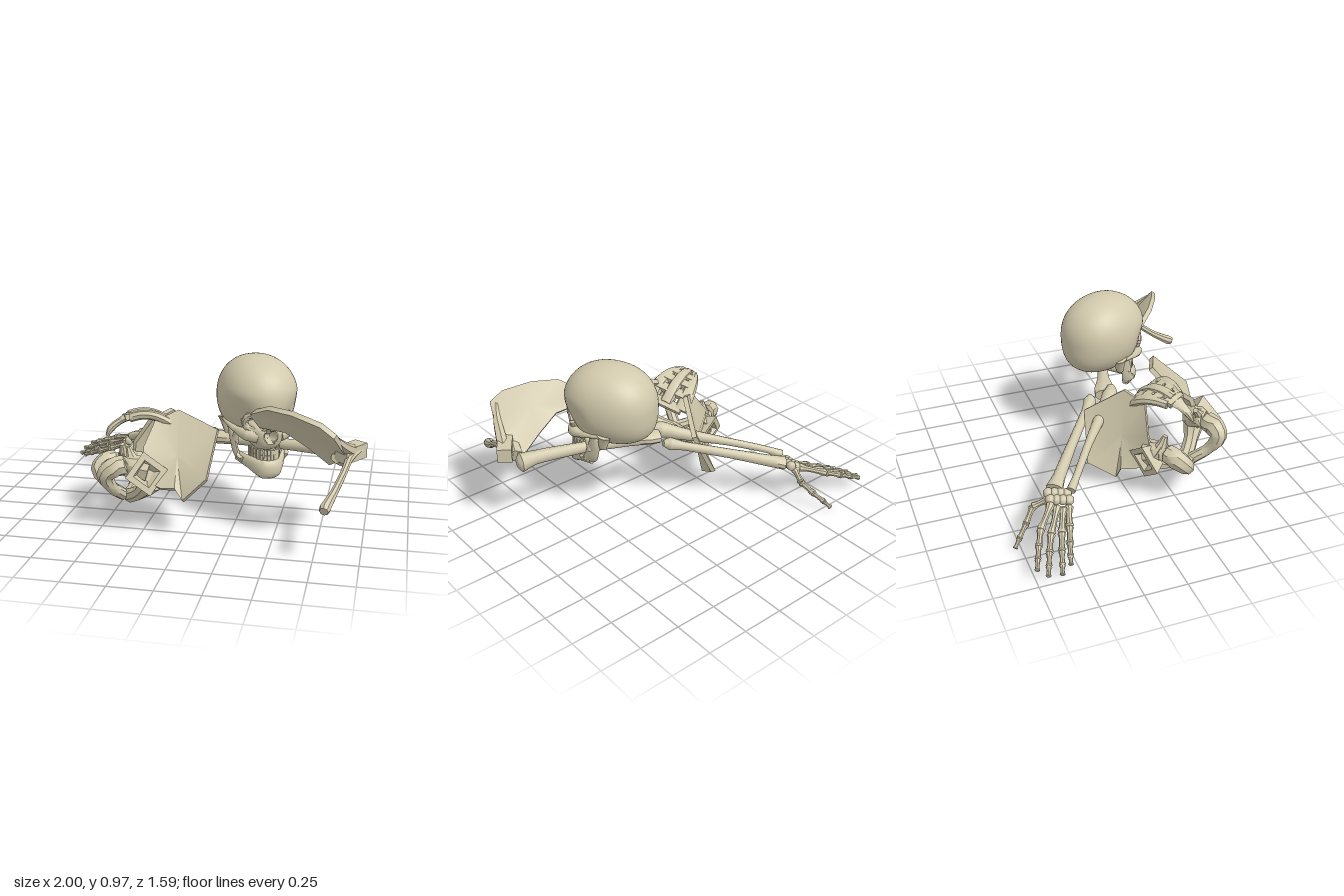
import * as THREE from 'three';
import { toCreasedNormals } from 'three/addons/utils/BufferGeometryUtils.js';

const boneMat = new THREE.MeshStandardMaterial({ color: 0xd2caad, side: THREE.DoubleSide });
boneMat.name = 'bone';
const V = (p) => new THREE.Vector3(p[0], p[1], p[2]);

function add(parent, name, geo, crease = 0.7) {
  const m = new THREE.Mesh(crease ? toCreasedNormals(geo, crease) : geo, boneMat);
  m.name = name;
  parent.add(m);
  return m;
}

function build(pos, idx) {
  const g = new THREE.BufferGeometry();
  g.setAttribute('position', new THREE.Float32BufferAttribute(pos, 3));
  g.setIndex(idx);
  return g;
}

// Closed tube through control points [x, y, z, radius, optional radius toward up]
function tube(pts, sides = 10, steps = 4) {
  const curve = new THREE.CatmullRomCurve3(pts.map(V));
  const chord = V(pts[pts.length - 1]).sub(V(pts[0])).normalize();
  const hint = Math.abs(chord.y) > 0.8 ? V([0, 0, 1]) : V([0, 1, 0]);
  const n = (pts.length - 1) * steps, pos = [], idx = [];
  for (let k = -1; k <= n + 1; k++) {
    const t = Math.min(Math.max(k / n, 0), 1), f = t * (pts.length - 1);
    const i = Math.min(Math.floor(f), pts.length - 2);
    const mix = (c) => THREE.MathUtils.lerp(c(pts[i]), c(pts[i + 1]), f - i);
    const cap = k < 0 || k > n ? 0 : 1;
    const w = cap * mix((p) => p[3]), h = cap * mix((p) => p[4] ?? p[3]);
    const c = curve.getPoint(t), T = curve.getTangent(t);
    const N = hint.clone().addScaledVector(T, -hint.dot(T)).normalize(), B = T.clone().cross(N);
    for (let j = 0; j < sides; j++) {
      const a = (j / sides) * Math.PI * 2;
      pos.push(...c.clone().addScaledVector(N, Math.cos(a) * h).addScaledVector(B, Math.sin(a) * w).toArray());
    }
  }
  for (let k = 0; k < n + 2; k++) for (let j = 0; j < sides; j++) {
    const a = k * sides + j, b = k * sides + (j + 1) % sides;
    idx.push(a, b, a + sides, b, b + sides, a + sides);
  }
  return build(pos, idx);
}

// Straight bone, thicker at both ends
function longBone(a, b, r) {
  const prof = [[0, 1], [0.07, 1.3], [0.25, 0.9], [0.5, 0.78], [0.75, 0.85], [0.93, 1.15], [1, 0.85]];
  return tube(prof.map(([t, k]) => [...V(a).lerp(V(b), t).toArray(), r * k]), 8, 2);
}

// Thin solid sheet fanned around a centre
function slab(outline, centre, t) {
  const ps = outline.map(V), c = V(centre), N = new THREE.Vector3(), n = ps.length;
  ps.forEach((p, i) => N.add(p.clone().sub(c).cross(ps[(i + 1) % n].clone().sub(c))));
  N.normalize();
  const pos = [], idx = [];
  for (const s of [1, -1]) for (const p of [...ps, c]) pos.push(...p.clone().addScaledVector(N, s * t / 2).toArray());
  for (let i = 0; i < n; i++) {
    const j = (i + 1) % n, q = n + 1;
    idx.push(i, j, n, q + j, q + i, q + n, i, q + i, j, j, q + i, q + j);
  }
  return build(pos, idx);
}

// Slightly boxy ball whose points are moved by a rule
function ball(power, rule) {
  const geo = new THREE.SphereGeometry(1, 48, 36), p = geo.attributes.position;
  for (let i = 0; i < p.count; i++) {
    const v = [p.getX(i), p.getY(i), p.getZ(i)];
    const k = v.reduce((s, c) => s + Math.abs(c) ** power, 0) ** (-1 / power);
    p.setXYZ(i, ...rule(v[0] * k, v[1] * k, v[2] * k));
  }
  return geo;
}

function makeSkull() {
  const g = new THREE.Group();
  g.name = 'skull';
  // Cranium, narrowed at the temples, full at the lower back, flat below, hollowed at the eyes
  add(g, 'cranium', ball(2.15, (a, b, c) => {
    let x = a * 0.228, y = b * 0.24, z = c * 0.283;
    if (z > 0.05 && y < 0.06) x *= 1 - 1.2 * (z - 0.05) * Math.min(1, (0.06 - y) / 0.1);
    if (z < 0 && y < 0) z *= 1 + 6 * y * y;
    y = Math.max(y, -0.208);
    const d = Math.hypot(Math.abs(x) - 0.075, y + 0.1);
    if (z > 0 && d < 0.058) z -= 0.12 * (1 - (d / 0.058) ** 4);
    return [x, y + 0.74, z];
  }), 0.9);
  // Upper jaw, narrowing toward the teeth, with the nose opening
  add(g, 'upperJaw', ball(2.8, (a, b, c) => {
    const x = a * (0.1 + 0.022 * b), y = b * 0.088 + 0.545;
    let z = c * 0.125 + 0.135 + 0.012 * b;
    const d = Math.hypot(x / 0.032, (y - 0.56) / 0.045);
    if (z > 0.15 && d < 1) z -= 0.07 * (1 - d ** 4);
    return [x, y, z];
  }), 0.9);
  add(g, 'noseBridge', tube([[0, 0.68, 0.255, 0.028], [0, 0.64, 0.262, 0.022], [0, 0.6, 0.285, 0.014]]));
  for (const s of [-1, 1]) {
    const ring = [];
    for (let k = 0; k <= 8; k++) {
      const a = (k / 8) * Math.PI * 2;
      ring.push([s * (0.078 + 0.058 * Math.cos(a)), 0.64 + 0.052 * Math.sin(a), 0.22 - 0.034 * Math.cos(a) + 0.01 * Math.sin(a), 0.02]);
    }
    add(g, 'eyeRim', tube(ring, 8, 3));
    add(g, 'cheekbone', tube([[s * 0.06, 0.55, 0.215, 0.038], [s * 0.12, 0.565, 0.185, 0.038],
      [s * 0.165, 0.58, 0.12, 0.02], [s * 0.192, 0.6, 0.05, 0.014], [s * 0.19, 0.61, -0.02, 0.018]]));
    add(g, 'earBump', tube([[s * 0.175, 0.62, -0.04, 0.05], [s * 0.165, 0.52, -0.02, 0.022]]));
    add(g, 'jawBranch', tube([[s * 0.165, 0.6, 0.03, 0.025, 0.022], [s * 0.16, 0.5, 0.045, 0.016, 0.04],
      [s * 0.14, 0.41, 0.08, 0.018, 0.042], [s * 0.115, 0.39, 0.13, 0.018, 0.038]]));
    add(g, 'jawHook', tube([[s * 0.155, 0.48, 0.06, 0.025], [s * 0.15, 0.58, 0.1, 0.012]]));
  }
  add(g, 'lowerJaw', tube([[-0.14, 0.405, 0.07, 0.018, 0.032], [-0.095, 0.388, 0.165, 0.02, 0.04], [-0.038, 0.364, 0.24, 0.026, 0.056],
    [0.038, 0.364, 0.24, 0.026, 0.056], [0.095, 0.388, 0.165, 0.02, 0.04], [0.14, 0.405, 0.07, 0.018, 0.032]]));
  for (const y of [0.464, 0.433]) for (let k = 0; k < 14; k++) {
    const a = (k / 13 - 0.5) * 2.9;
    const tooth = add(g, 'tooth', new THREE.BoxGeometry(0.017, 0.03, 0.018), 0);
    tooth.position.set(0.083 * Math.sin(a), y, 0.12 + 0.13 * Math.cos(a));
    tooth.rotation.y = a;
  }
  g.position.set(0.34, 0, 0.1);
  g.rotation.y = 0.48;
  return g;
}

function makePelvis() {
  const g = new THREE.Group();
  g.name = 'pelvis';
  for (const s of [1, -1]) {
    const at = (list) => list.map(([x, ...r]) => [s * x, ...r]);
    const crest = at([[0.115, 0.07, 0.3], [0.297, 0.263, 0.205], [0.442, 0.178, -0.066], [0.352, 0.068, -0.2],
      [0.33, 0.025, -0.135], [0.278, -0.045, -0.143], [0.21, -0.14, -0.1], [0.192, -0.138, 0.085], [0.094, -0.063, 0.229]]);
    add(g, 'hipBlade', slab(s > 0 ? crest : crest.reverse(), [s * 0.235, 0.05, 0.04], 0.03));
    // Four-sided hip socket
    const cup = new THREE.LatheGeometry([[0, -0.08], [0.07, -0.07], [0.128, 0.04], [0.08, 0.04], [0.04, -0.015], [0, -0.015]]
      .map(([x, y]) => new THREE.Vector2(x, y)), 4);
    const socket = add(g, 'hipSocket', cup, 0.4);
    socket.position.set(s * 0.235, -0.135, -0.06);
    socket.rotation.set(0.2, 0, -s * 1.45);
    add(g, 'sitBone', tube(at([[0.2, -0.11, -0.045, 0.08], [0.175, -0.22, -0.02, 0.056], [0.17, -0.31, -0.04, 0.062],
      [0.15, -0.35, -0.085, 0.052], [0.1, -0.3, -0.16, 0.034], [0.01, -0.22, -0.21, 0.035]]), 8, 3));
    add(g, 'sitBoneSpine', tube(at([[0.17, -0.2, 0.01, 0.04], [0.135, -0.22, 0.075, 0.016]]), 8, 2));
    add(g, 'pubicBranch', tube(at([[0.22, -0.09, -0.1, 0.07], [0.12, -0.13, -0.175, 0.044], [0, -0.18, -0.215, 0.045]]), 8, 3));
  }
  // Sacrum: cross bars between a centre column and two side strips, leaving openings
  const line = [[0.07, 0.19, 0.13], [0, 0.245, 0.125], [-0.07, 0.272, 0.11], [-0.14, 0.275, 0.09], [-0.21, 0.255, 0.065]];
  add(g, 'sacrumColumn', tube(line.map(([y, z, w]) => [0, y, z, 0.15 * w + 0.022, 0.03]), 8));
  for (const s of [-1, 1]) add(g, 'sacrumWing', tube(line.map(([y, z, w]) => [s * w * 0.82, y, z - 0.01, w * 0.36, 0.028]), 8));
  for (const [y, z, w] of line) {
    const bar = add(g, 'sacrumBar', new THREE.BoxGeometry(w * 1.7, 0.054, 0.036), 0);
    bar.position.set(0, y, z - 0.005);
    bar.rotation.x = -3 * (y + 0.1);
  }
  add(g, 'tailbone', tube([[0, -0.2, 0.255, 0.06, 0.025], [0, -0.26, 0.22, 0.035, 0.02], [0, -0.31, 0.175, 0.022], [0, -0.33, 0.13, 0.01]], 8));
  g.applyMatrix4(new THREE.Matrix4().makeBasis(V([0.4, 0.23, 0.887]), V([0.9165, -0.1004, -0.387]), V([0, 0.968, -0.251]))
    .setPosition(-0.2, 0.35, 0.25));
  return g;
}

function makeShoulder() {
  const g = new THREE.Group();
  g.name = 'shoulder';
  add(g, 'shoulderBlade', slab([[0.34, 0.7, 0.34], [0.46, 0.77, 0.47], [0.6, 0.77, 0.55], [0.76, 0.735, 0.62], [0.84, 0.68, 0.635],
    [0.87, 0.6, 0.55], [0.9, 0.5, 0.4], [0.8, 0.435, 0.35], [0.68, 0.53, 0.36], [0.55, 0.615, 0.37], [0.4, 0.63, 0.35]],
  [0.66, 0.66, 0.45], 0.03), 1);
  add(g, 'bladeSpine', tube([[0.82, 0.68, 0.6, 0.012], [0.86, 0.61, 0.53, 0.026], [0.9, 0.55, 0.43, 0.034],
    [0.93, 0.52, 0.36, 0.035]], 6, 3));
  add(g, 'shoulderSocket', tube([[0.84, 0.5, 0.42, 0.04], [0.875, 0.465, 0.33, 0.05]], 6, 2));
  const tip = add(g, 'shoulderTip', new THREE.BoxGeometry(0.085, 0.085, 0.18), 0);
  tip.position.set(0.912, 0.515, 0.37);
  tip.rotation.y = -0.6;
  add(g, 'collarbone', tube([[0.96, 0.53, 0.32, 0.03, 0.022], [0.91, 0.5, 0.44, 0.022], [0.885, 0.45, 0.55, 0.02],
    [0.845, 0.375, 0.66, 0.022], [0.81, 0.325, 0.76, 0.032], [0.805, 0.315, 0.785, 0.025]], 8));
  return g;
}

function makeArm() {
  const g = new THREE.Group();
  g.name = 'arm';
  add(g, 'upperArm', tube([[0.91, 0.47, 0.25, 0.03], [0.89, 0.47, 0.245, 0.058], [0.8, 0.475, 0.23, 0.042], [0.5, 0.465, 0.15, 0.033],
    [0.25, 0.45, 0.07, 0.036], [0.12, 0.445, 0.03, 0.065, 0.04], [0.06, 0.44, 0.01, 0.06, 0.04]]));
  add(g, 'forearmOuter', tube([[0.09, 0.435, -0.075, 0.018], [0.05, 0.425, -0.09, 0.04], [-0.02, 0.405, -0.14, 0.027],
    [-0.25, 0.34, -0.31, 0.029], [-0.45, 0.278, -0.455, 0.037], [-0.52, 0.258, -0.505, 0.052, 0.037]]));
  add(g, 'forearmInner', tube([[0.08, 0.48, 0.06, 0.025], [0.02, 0.46, 0.03, 0.05], [-0.08, 0.427, -0.05, 0.038],
    [-0.3, 0.365, -0.22, 0.024], [-0.5, 0.297, -0.365, 0.021], [-0.575, 0.262, -0.425, 0.027]]));
  // Wrist: two rows of small bones
  for (let r = 0; r < 2; r++) for (let k = 0; k < 4; k++) {
    const b = add(g, 'wristBone', new THREE.IcosahedronGeometry(0.03, 1));
    b.position.set(-0.56 - r * 0.04 + k * 0.008, 0.24 - r * 0.02 + k * 0.004, -0.445 - k * 0.034);
  }
  // Fingers: hand bone plus three joints, as x-z positions on the sloping hand
  const slope = ([x, z]) => [x, 0.235 + (x + 0.58) * 0.45 - (z + 0.6) * 0.15, z];
  const fingers = [
    [[-0.6, -0.55], [-0.74, -0.655], [-0.83, -0.695], [-0.9, -0.722], [-0.96, -0.745]],
    [[-0.62, -0.52], [-0.77, -0.605], [-0.87, -0.648], [-0.945, -0.675], [-0.998, -0.695]],
    [[-0.63, -0.49], [-0.77, -0.545], [-0.87, -0.578], [-0.945, -0.6], [-0.998, -0.617]],
    [[-0.62, -0.455], [-0.74, -0.49], [-0.83, -0.518], [-0.9, -0.54], [-0.95, -0.553]]];
  const thumb = [[-0.56, 0.225, -0.56], [-0.535, 0.18, -0.64], [-0.585, 0.11, -0.695], [-0.63, 0.055, -0.75], [-0.66, 0.015, -0.785]];
  for (const f of [...fingers.map((q) => q.map(slope)), thumb])
    for (let i = 0; i < 4; i++) add(g, i ? 'fingerBone' : 'handBone', longBone(f[i], f[i + 1], 0.0215 - i * 0.0025));
  return g;
}

export function createModel() {
  const model = new THREE.Group();
  model.name = 'bonePile';
  model.add(makeSkull(), makePelvis(), makeShoulder(), makeArm());
  return model;
}
